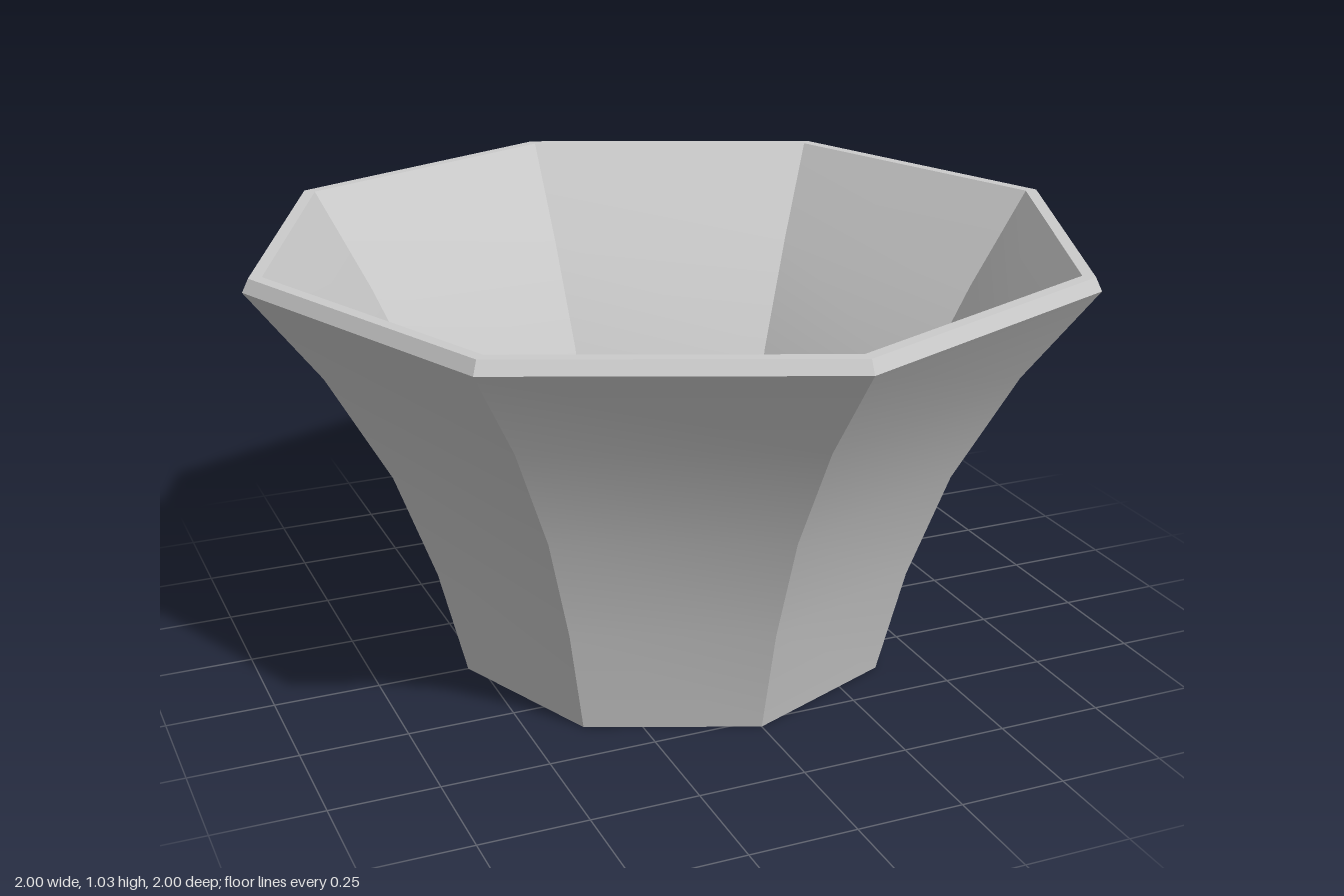
import * as THREE from 'three';
import { toCreasedNormals } from 'three/addons/utils/BufferGeometryUtils.js';

const SIDES = 8;
const CREASE = 0.45; // sharp between the eight sides, smooth up the curve

export function createModel() {
  const group = new THREE.Group();
  group.name = 'octagonalBowl';
  const material = new THREE.MeshStandardMaterial({ color: 0xcccccc });

  // Turns a [radius, height] profile into an eight-sided part
  function addPart(name, profile) {
    const points = profile.map(([r, y]) => new THREE.Vector2(r, y));
    const geometry = toCreasedNormals(new THREE.LatheGeometry(points, SIDES), CREASE);
    const mesh = new THREE.Mesh(geometry, material);
    mesh.name = name;
    group.add(mesh);
  }

  // Flat underside
  addPart('base', [[0, 0], [0.53, 0]]);
  // Flaring outside
  addPart('outerWall', [[0.53, 0], [0.595, 0.26], [0.69, 0.52], [0.835, 0.78], [1, 1]]);
  // Narrow bevel and flat lip
  addPart('rim', [[1, 1], [0.985, 1.03], [0.955, 1.03]]);
  // Inside, following the outside at the thickness of the wall
  addPart('innerWall', [[0.955, 1.03], [0.81, 0.8], [0.664, 0.535], [0.567, 0.27], [0.51, 0.03]]);
  // Floor of the bowl
  addPart('floor', [[0.51, 0.03], [0, 0.03]]);

  return group;
}
